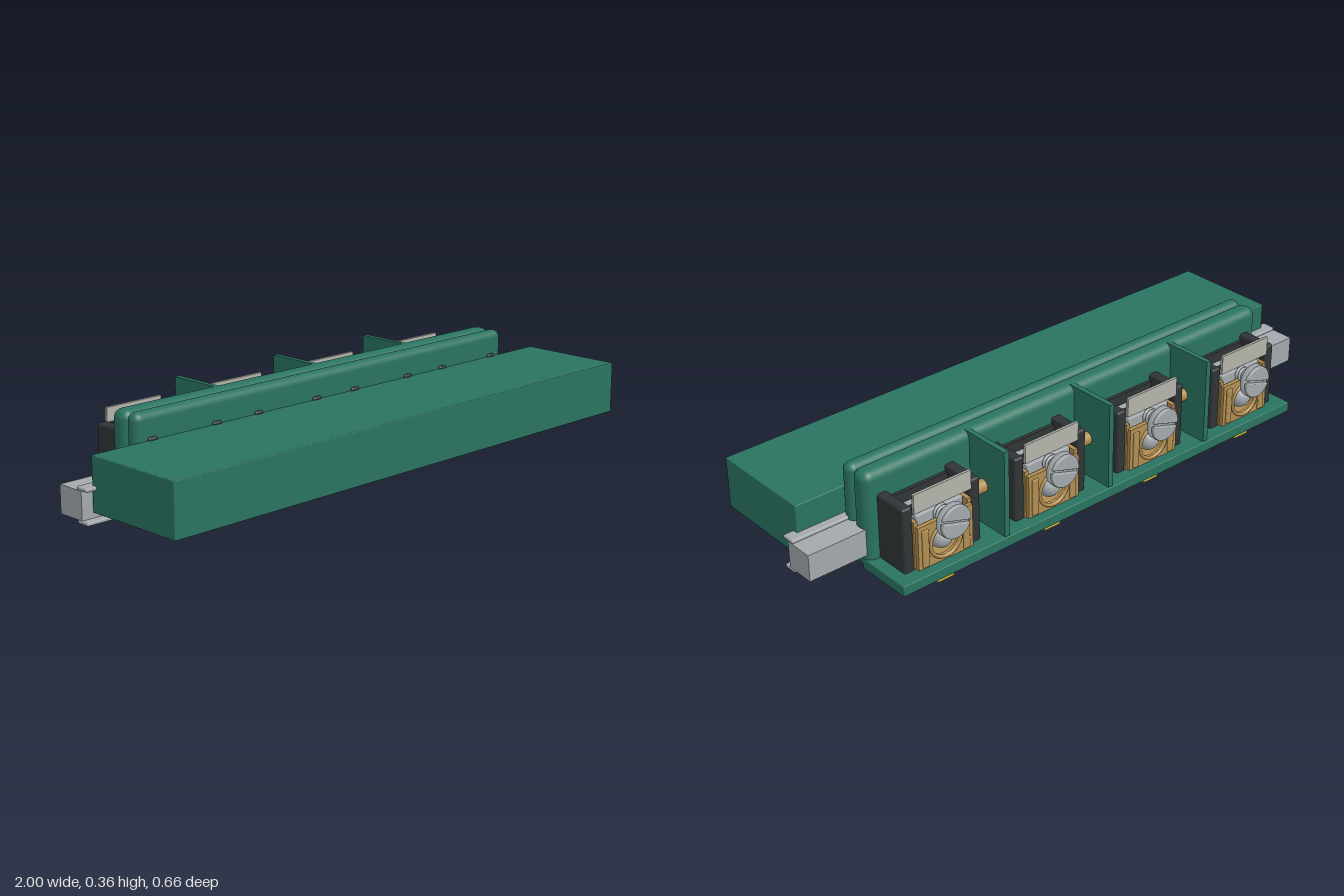
import * as THREE from 'three';
import { RoundedBoxGeometry } from 'three/addons/geometries/RoundedBoxGeometry.js';

const mat = (color, side = THREE.FrontSide) => new THREE.MeshStandardMaterial({ color, side });
const GREEN = mat(0x2a7360), DARK = mat(0x303436), STEEL = mat(0xa2a8ac), BRASS = mat(0xb08d50);
const TAB = mat(0x2e8b57), YELLOW = mat(0xd0b428), LABEL = mat(0xb4b4ac);

function add(parent, name, geometry, material, x = 0, y = 0, z = 0) {
  const mesh = new THREE.Mesh(geometry, material);
  mesh.name = name;
  mesh.position.set(x, y, z);
  parent.add(mesh);
  return mesh;
}

// Box given by its limits on each axis, optionally with rounded edges
function box(parent, name, material, [x0, x1], [y0, y1], [z0, z1], r = 0) {
  const s = [x1 - x0, y1 - y0, z1 - z0];
  const g = r ? new RoundedBoxGeometry(...s, 4, r) : new THREE.BoxGeometry(...s);
  return add(parent, name, g, material, (x0 + x1) / 2, (y0 + y1) / 2, (z0 + z1) / 2);
}

const zCylinder = (r, len, n = 32) => new THREE.CylinderGeometry(r, r, len, n).rotateX(Math.PI / 2);

// Slotted clamp screw whose head points to -z
function screw() {
  const g = new THREE.Group();
  g.name = 'clampScrew';
  add(g, 'screwShank', zCylinder(0.02, 0.12, 20), STEEL, 0, 0, -0.245);
  for (let i = 0; i < 4; i++) {
    const ring = add(g, 'screwThread', new THREE.TorusGeometry(0.023, 0.0055, 8, 24), STEEL, 0, 0, -0.255 - i * 0.012);
    ring.rotation.x = 0.15;
  }
  const profile = [[0, 0], [0.05, 0], [0.055, 0.005], [0.055, 0.023], [0, 0.023]].map(p => new THREE.Vector2(...p));
  add(g, 'screwHead', new THREE.LatheGeometry(profile, 32).rotateX(-Math.PI / 2), STEEL, 0, 0, -0.295);
  // two raised segments leave the driver slot between them
  const a = 0.13;
  const segment = new THREE.Shape().absarc(0, 0, 0.051, a, Math.PI - a, false);
  const raised = new THREE.ExtrudeGeometry(segment, {
    depth: 0.006, bevelEnabled: true, bevelThickness: 0.004, bevelSize: 0.003, bevelOffset: -0.001, bevelSegments: 3, curveSegments: 24
  });
  for (const turn of [0, Math.PI]) {
    add(g, 'screwHeadHalf', raised, STEEL, 0, 0, -0.324).rotation.z = turn + 0.3;
  }
  return g;
}

// One terminal: dark side walls, brass clamp, screw, marker plate and lower tab
function terminal() {
  const g = new THREE.Group();
  g.name = 'terminal';
  for (const s of [-1, 1]) {
    const x = s * 0.123;
    box(g, 'sideWall', DARK, [x - 0.018, x + 0.018], [0.055, 0.29], [-0.26, -0.018], 0.008);
  }
  box(g, 'housingBack', DARK, [-0.12, 0.12], [0.06, 0.27], [-0.155, -0.13]);
  box(g, 'housingFoot', DARK, [-0.12, 0.12], [0.056, 0.095], [-0.16, -0.022]);

  // brass clamp plate with a round wire opening
  const plate = new THREE.Shape();
  plate.moveTo(-0.1, 0.076).lineTo(0.1, 0.076).lineTo(0.1, 0.22).lineTo(-0.1, 0.22).closePath();
  plate.holes.push(new THREE.Path().absarc(0, 0.143, 0.052, 0, Math.PI * 2, true));
  add(g, 'clampPlate', new THREE.ExtrudeGeometry(plate, { depth: 0.014, bevelEnabled: false, curveSegments: 20 }), BRASS, 0, 0, -0.274);
  add(g, 'wireOpeningRim', new THREE.TorusGeometry(0.056, 0.006, 8, 36), BRASS, 0, 0.143, -0.274);
  for (const s of [-1, 1]) {
    box(g, 'clampSide', BRASS, [s * 0.098 - 0.007, s * 0.098 + 0.007], [0.076, 0.235], [-0.262, -0.155]);
    box(g, 'clampRib', BRASS, [s * 0.075 - 0.012, s * 0.075 + 0.012], [0.08, 0.205], [-0.279, -0.27], 0.003);
  }
  box(g, 'clampFloor', BRASS, [-0.1, 0.1], [0.076, 0.088], [-0.262, -0.155]);
  box(g, 'pressurePlate', STEEL, [-0.085, 0.085], [0.19, 0.245], [-0.25, -0.225], 0.004);
  box(g, 'contactBar', STEEL, [-0.085, 0.085], [0.1, 0.235], [-0.18, -0.155]);
  add(g, 'wireStud', new THREE.SphereGeometry(0.036, 24, 16), STEEL, 0, 0.143, -0.25);

  const clampScrew = screw();
  clampScrew.position.y = 0.225;
  g.add(clampScrew);

  box(g, 'markerPlate', LABEL, [-0.105, 0.105], [0.265, 0.33], [-0.266, -0.256], 0.002);
  box(g, 'markerHolder', DARK, [-0.106, 0.106], [0.262, 0.285], [-0.257, -0.24]);

  box(g, 'lowerTab', TAB, [-0.14, 0.14], [0.002, 0.06], [-0.263, -0.195], 0.005);
  box(g, 'tabMark', YELLOW, [-0.03, 0.03], [0, 0.042], [-0.268, -0.235]);
  return g;
}

export function createModel() {
  const model = new THREE.Group();
  model.name = 'terminalBlock';

  // main body and the two rounded mounting plates
  box(model, 'mainBody', GREEN, [-0.965, 0.965], [0.11, 0.28], [-0.027, 0.33], 0.003);
  box(model, 'frontPlate', GREEN, [-0.805, 0.805], [0.04, 0.365], [-0.076, -0.025], 0.025);
  box(model, 'backPlate', GREEN, [-0.805, 0.805], [0.04, 0.365], [-0.143, -0.073], 0.03);
  for (const s of [-1, 1]) {
    box(model, 'bodyFoot', GREEN, [s * 0.695 - 0.07, s * 0.695 + 0.07], [0.104, 0.115], [-0.03, 0.052]);
  }

  // mounting rail with its two flanges
  box(model, 'rail', STEEL, [-1, 1], [0.092, 0.18], [-0.13, -0.032]);
  for (const y of [0.086, 0.185]) {
    box(model, 'railFlange', STEEL, [-1, 1], [y - 0.006, y + 0.006], [-0.054, -0.007], 0.005);
  }

  // lower shelf with a ribbed underside
  box(model, 'shelf', GREEN, [-0.805, 0.805], [0.056, 0.076], [-0.308, -0.115], 0.003);
  for (const z of [-0.301, -0.122]) {
    box(model, 'shelfRim', GREEN, [-0.805, 0.805], [0.043, 0.06], [z - 0.007, z + 0.007]);
  }
  for (const x of [-0.797, 0.797]) {
    box(model, 'shelfRim', GREEN, [x - 0.008, x + 0.008], [0.043, 0.06], [-0.307, -0.116]);
  }

  // partitions between the terminals
  for (const x of [-0.415, 0, 0.415]) {
    box(model, 'partition', GREEN, [x - 0.009, x + 0.009], [0.042, 0.364], [-0.302, -0.11]);
  }

  // brass rod through all terminals
  add(model, 'connectingRod', new THREE.CylinderGeometry(0.021, 0.021, 1.48, 24).rotateZ(Math.PI / 2), BRASS, 0, 0.21, -0.204);

  for (let i = 0; i < 4; i++) {
    const t = terminal();
    t.position.x = (i - 1.5) * 0.415;
    model.add(t);
  }
  return model;
}
